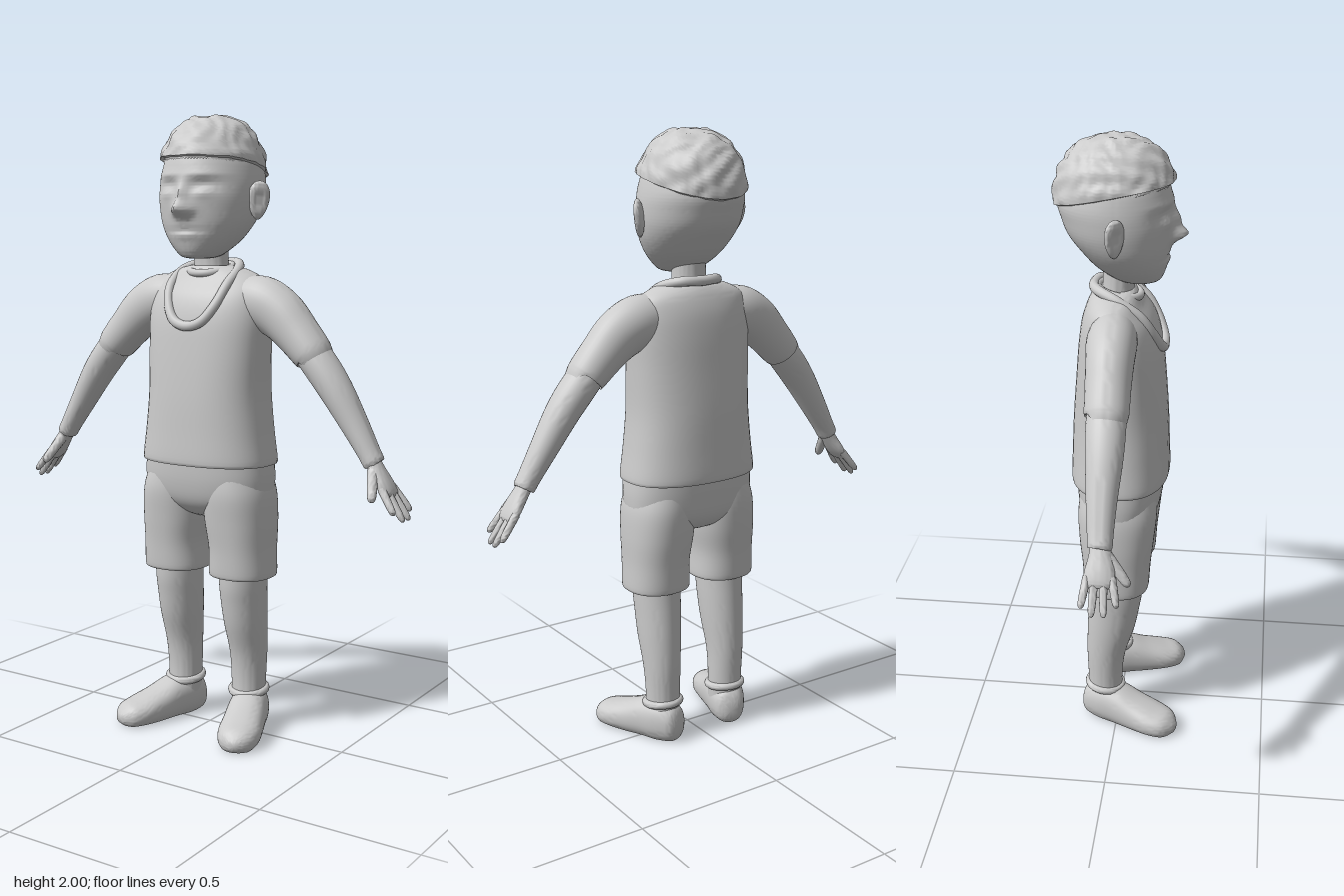
import * as THREE from 'three';
import { toCreasedNormals } from 'three/addons/utils/BufferGeometryUtils.js';

const V = (x, y, z) => new THREE.Vector3(x, y, z);
const Y = V(0, 1, 0), Z = V(0, 0, 1);
const grey = new THREE.MeshStandardMaterial({ color: 0xcccccc });
const crease = (g) => toCreasedNormals(g, 0.95);

// Smooth value of row-wise data at position f (Catmull-Rom)
function sampleRow(rows, f) {
  const n = rows.length - 1, i = Math.min(Math.floor(f), n - 1), t = f - i;
  const [a, b, c, d] = [rows[Math.max(i - 1, 0)], rows[i], rows[i + 1], rows[Math.min(i + 2, n)]];
  return b.map((v, k) => v + 0.5 * t * (c[k] - a[k] + t * (2 * a[k] - 5 * v + 4 * c[k] - d[k] + t * (3 * (v - c[k]) + d[k] - a[k]))));
}

// Closed skin over rows [x, y, z, radius along u, radius across u, squareness = 2].
// With no fixed axis the sections stand square to the path.
function loft(rows, { axis = null, u = Z, seg = 32, sub = 5, rule = null } = {}) {
  const full = rows.map(([x, y, z, ru, rv, power = 2]) => [x, y, z, ru, rv, power]);
  const count = (rows.length - 1) * sub, pos = [], index = [];
  const all = Array.from({ length: count + 1 }, (_, i) => sampleRow(full, i / sub));
  const centre = (i) => V(...all[THREE.MathUtils.clamp(i, 0, count)].slice(0, 3));
  const add = (p) => { if (rule) rule(p); pos.push(p.x, p.y, p.z); };
  all.forEach((r, i) => {
    const t = axis ?? centre(i + 1).sub(centre(i - 1)).normalize();
    const v = t.clone().cross(u).normalize(), w = v.clone().cross(t), e = 2 / r[5];
    for (let j = 0; j < seg; j++) {
      const a = j / seg * Math.PI * 2, c = Math.cos(a), s = Math.sin(a);
      add(centre(i).addScaledVector(w, Math.sign(c) * Math.abs(c) ** e * r[3])
        .addScaledVector(v, Math.sign(s) * Math.abs(s) ** e * r[4]));
    }
  });
  add(centre(0));
  add(centre(count));
  const first = (count + 1) * seg, top = count * seg;
  for (let j = 0; j < seg; j++) {
    const k = (j + 1) % seg;
    for (let i = 0; i < count; i++) {
      const a = i * seg + j, b = i * seg + k;
      index.push(a, b, b + seg, a, b + seg, a + seg);
    }
    index.push(first, k, j, first + 1, top + j, top + k);
  }
  const g = new THREE.BufferGeometry();
  g.setAttribute('position', new THREE.Float32BufferAttribute(pos, 3));
  g.setIndex(index);
  return crease(g);
}

// Reshape a built-in geometry vertex by vertex
function shape(g, rule) {
  const p = g.attributes.position, v = V(0, 0, 0);
  for (let i = 0; i < p.count; i++) {
    rule(v.fromBufferAttribute(p, i));
    p.setXYZ(i, v.x, v.y, v.z);
  }
  return crease(g);
}

// Mirror across x, swapping corners so the faces still point outwards
function mirror(g) {
  const m = g.clone();
  for (const a of [m.attributes.position, m.attributes.normal]) {
    const s = a.array;
    for (let i = 0; i < s.length; i += 3) s[i] *= -1;
    for (let i = 0; i < s.length; i += 9) {
      for (let k = i + 3; k < i + 6; k++) [s[k], s[k + 3]] = [s[k + 3], s[k]];
    }
  }
  return m;
}

// Soft lumps and hollows of the face: [depth, x, y, width, height]
const face = [
  [0.042, 0, 1.7, 0.02, 0.016], [0.02, 0, 1.745, 0.014, 0.026],
  [0.008, 0.026, 1.693, 0.009, 0.009], [-0.014, 0.062, 1.77, 0.035, 0.018],
  [0.009, 0.066, 1.752, 0.022, 0.012], [0.006, 0.065, 1.805, 0.04, 0.01],
  [-0.005, 0, 1.635, 0.04, 0.005], [0.004, 0, 1.62, 0.03, 0.008],
];
function sculptFace(p) {
  if (p.z < 0.03) return;
  const x = Math.abs(p.x);
  let d = 0;
  for (const [h, fx, fy, w, t] of face) d += h * Math.exp(-(((x - fx) / w) ** 2 + ((p.y - fy) / t) ** 2) / 2);
  p.z += d * Math.min(1, (p.z - 0.03) / 0.05);
}

// Lumpy hair cap with a hem that drops towards the back and tucks in
function hairRule(p) {
  const a = Math.atan2(p.x, p.z), t = Math.acos(THREE.MathUtils.clamp(p.y, -1, 1)) / Math.PI;
  const hem = 1.82 + 0.04 * Math.cos(a) - 0.008 * Math.cos(2 * a);
  const phi = t * Math.acos((hem - 1.8) / 0.193), s = Math.sin(phi) ** 0.78;
  p.set(Math.sin(a) * s * 0.167, 0.193 * Math.cos(phi), Math.cos(a) * s * 0.19);
  const lump = Math.sin(p.x * 75 + 2 * Math.sin(p.z * 40)) * Math.sin(p.z * 68 + 2 * Math.sin(p.y * 45))
    + 0.6 * Math.sin(p.y * 90 + p.x * 60);
  const k = 1 + 0.022 * lump * Math.min(1, t * 8 + 0.3), tuck = t > 0.96 ? 0.92 : 1;
  p.set(p.x * k * tuck, 1.8 + p.y * k, -0.018 + p.z * k * tuck);
}

export function createModel() {
  const model = new THREE.Group();
  const add = (name, g) => {
    const m = new THREE.Mesh(g, grey);
    m.name = name;
    model.add(m);
  };
  const pair = (name, g) => { add('left' + name, g); add('right' + name, mirror(g)); };
  const up = { axis: Y, seg: 48 };

  // Head, hair and neck
  add('head', loft([
    [0, 1.548, 0.06, 0.035, 0.03], [0, 1.558, 0.052, 0.07, 0.065], [0, 1.60, 0.03, 0.11, 0.112],
    [0, 1.65, 0.012, 0.138, 0.145], [0, 1.70, -0.004, 0.16, 0.161], [0, 1.75, -0.012, 0.172, 0.166],
    [0, 1.80, -0.02, 0.176, 0.163], [0, 1.86, -0.02, 0.161, 0.147], [0, 1.92, -0.02, 0.125, 0.115],
    [0, 1.965, -0.02, 0.05, 0.05],
  ], { axis: Y, seg: 96, sub: 10, rule: sculptFace }));
  add('hair', shape(new THREE.SphereGeometry(1, 96, 56), hairRule));
  add('neck', loft([[0, 1.44, -0.015, 0.062, 0.07], [0, 1.52, -0.01, 0.05, 0.058], [0, 1.62, -0.005, 0.052, 0.056]], up));

  // Ears: dished ovals whose back edges stand out from the head
  const ear = shape(new THREE.SphereGeometry(1, 28, 20), (p) => {
    const r = Math.hypot(p.y, p.z);
    const x = p.x > 0 ? p.x - 0.75 * Math.exp(-((r / 0.5) ** 2)) : p.x;
    p.set(x * 0.016, p.y * 0.06, p.z * (0.034 + 0.008 * p.y));
  });
  ear.rotateY(-0.75).rotateZ(-0.1).translate(0.18, 1.728, -0.002);
  pair('Ear', ear);

  // Shirt body
  add('shirt', loft([
    [0, 0.897, 0, 0.15, 0.224, 2.4], [0, 0.905, 0, 0.158, 0.23, 2.4], [0, 1.0, 0, 0.155, 0.217, 2.4],
    [0, 1.12, 0, 0.15, 0.206, 2.4], [0, 1.26, 0, 0.139, 0.208, 2.4], [0, 1.36, -0.002, 0.129, 0.212, 2.3],
    [0, 1.43, -0.008, 0.113, 0.207, 2.2], [0, 1.48, -0.018, 0.087, 0.187, 2.1],
    [0, 1.51, -0.018, 0.07, 0.135], [0, 1.525, -0.015, 0.055, 0.075],
  ], up));

  // Collar round the neck and the long loop hanging on the chest
  const half = [[0.062, 1.532, -0.068], [0.102, 1.512, -0.005], [0.105, 1.465, 0.066], [0.088, 1.405, 0.106], [0.05, 1.353, 0.13]];
  const loop = [V(0, 1.532, -0.085), ...half.map((p) => V(...p)), V(0, 1.338, 0.135),
    ...half.slice().reverse().map(([x, y, z]) => V(-x, y, z))];
  add('neckLoop', new THREE.TubeGeometry(new THREE.CatmullRomCurve3(loop, true), 90, 0.016, 12, true));
  add('collar', new THREE.TorusGeometry(0.068, 0.013, 12, 48).rotateX(Math.PI / 2 + 0.2).translate(0, 1.515, -0.008));

  // Sleeves and arms
  pair('Sleeve', loft([
    [0.11, 1.415, -0.01, 0.07, 0.075], [0.19, 1.41, -0.009, 0.077, 0.085], [0.26, 1.375, -0.007, 0.073, 0.081],
    [0.32, 1.32, -0.005, 0.069, 0.071], [0.375, 1.262, -0.003, 0.067, 0.063], [0.382, 1.254, -0.003, 0.062, 0.057],
  ]));
  pair('Arm', loft([
    [0.33, 1.31, -0.003, 0.055, 0.052], [0.40, 1.232, -0.002, 0.06, 0.055], [0.46, 1.155, 0, 0.056, 0.052],
    [0.525, 1.055, 0, 0.046, 0.043], [0.575, 0.975, 0.002, 0.039, 0.035], [0.595, 0.942, 0.003, 0.037, 0.033],
    [0.598, 0.937, 0.003, 0.032, 0.028],
  ]));

  // Hands: palm, four fingers and a thumb
  pair('Palm', loft([
    [0.58, 0.965, 0.003, 0.027, 0.022], [0.607, 0.922, 0.006, 0.034, 0.022], [0.635, 0.88, 0.007, 0.045, 0.021],
    [0.654, 0.852, 0.006, 0.043, 0.016], [0.661, 0.842, 0.006, 0.03, 0.008],
  ]));
  const finger = (a, b, r) => {
    const at = (t, k) => [...a.map((v, i) => v + (b[i] - v) * t), r * k, r * k];
    return loft([at(0, 1.1), at(0.35, 1.05), at(0.75, 0.95), at(0.94, 0.7), at(1, 0.2)], { seg: 14, sub: 4, u: V(0.83, 0.55, 0) });
  };
  [[0.043, 0.062, 0.693, 0.80], [0.018, 0.026, 0.708, 0.775], [-0.007, -0.01, 0.71, 0.775], [-0.029, -0.042, 0.7, 0.797]]
    .forEach(([z0, z1, x, y], i) => pair('Finger' + (i + 1), finger([0.642, 0.87, z0], [x, y, z1], 0.0115)));
  pair('Thumb', finger([0.603, 0.92, 0.025], [0.633, 0.838, 0.092], 0.0155));

  // Shorts: hips and two legs
  add('shortsHips', loft([
    [0, 0.715, -0.005, 0.05, 0.06], [0, 0.735, -0.005, 0.095, 0.15], [0, 0.775, -0.003, 0.125, 0.215, 2.3],
    [0, 0.84, 0, 0.138, 0.226, 2.4], [0, 0.92, 0, 0.143, 0.22, 2.4],
  ], up));
  pair('ShortsLeg', loft([
    [0.127, 0.53, -0.003, 0.1, 0.1, 2.3], [0.127, 0.536, -0.003, 0.107, 0.107, 2.3], [0.127, 0.62, -0.002, 0.112, 0.105, 2.3],
    [0.121, 0.71, -0.002, 0.122, 0.112, 2.3], [0.116, 0.8, 0, 0.128, 0.112, 2.2], [0.11, 0.87, 0, 0.12, 0.1],
  ], up));

  // Lower legs
  pair('Leg', loft([
    [0.127, 0.08, -0.04, 0.058, 0.055], [0.127, 0.17, -0.042, 0.058, 0.057], [0.128, 0.26, -0.038, 0.065, 0.061],
    [0.127, 0.36, -0.022, 0.079, 0.069], [0.126, 0.44, -0.012, 0.085, 0.073], [0.126, 0.5, -0.006, 0.088, 0.075],
    [0.126, 0.58, -0.004, 0.088, 0.076],
  ], up));

  // Shoes: flat-soled, toes turned outwards, with a padded ankle rim
  const shoe = [
    [0, 0.05, 0.03, 0.025], [0.05, 0.058, 0.058, 0.047], [0.2, 0.064, 0.074, 0.062], [0.38, 0.06, 0.071, 0.065],
    [0.58, 0.046, 0.058, 0.068], [0.78, 0.036, 0.046, 0.069], [0.92, 0.03, 0.038, 0.054], [1, 0.026, 0.016, 0.02],
  ].map(([s, y, h, w]) => [0.107 + 0.118 * s, y, -0.112 + 0.317 * s, h, w, 2.3]);
  pair('Shoe', loft(shoe, { axis: V(0.35, 0, 0.937), u: Y, seg: 44, rule: (p) => { p.y = Math.max(p.y, 0); } }));
  pair('ShoeRim', crease(new THREE.TorusGeometry(0.056, 0.013, 12, 40).rotateX(Math.PI / 2 + 0.12).translate(0.127, 0.128, -0.042)));

  return model;
}
